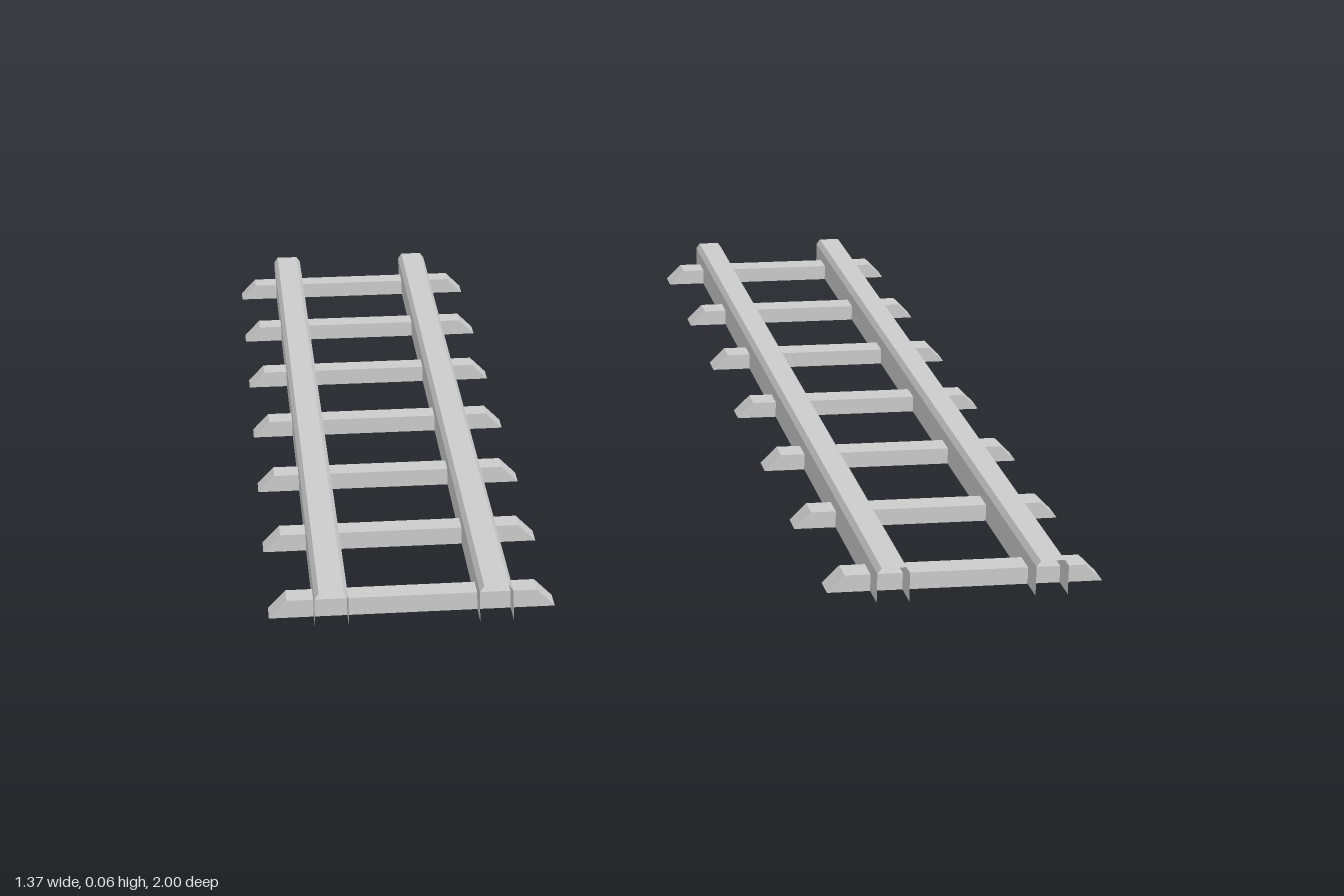
import * as THREE from 'three';

const material = new THREE.MeshStandardMaterial({ color: 0xcccccc, side: THREE.DoubleSide });

const TRACK_X = 0.455;      // centre of each track
const RAIL_OFFSET = 0.132;  // rail centre from track centre
const SLEEPERS = 7;
const SLEEPER_PITCH = 0.307;

// Inverted channel with chamfered top edges, open below and at both ends
function railGeometry() {
  const w = 0.027, c = 0.007;
  const profile = [[-w, 0], [-w, 0.05], [-w + c, 0.06], [w - c, 0.06], [w, 0.05], [w, 0]];
  const positions = [];
  for (let i = 0; i < profile.length - 1; i++) {
    const [x0, y0] = profile[i], [x1, y1] = profile[i + 1];
    positions.push(
      x0, y0, -1, x0, y0, 1, x1, y1, 1,
      x0, y0, -1, x1, y1, 1, x1, y1, -1
    );
  }
  const geometry = new THREE.BufferGeometry();
  geometry.setAttribute('position', new THREE.Float32BufferAttribute(positions, 3));
  geometry.computeVertexNormals();
  return geometry;
}

// Hollow sleeper with sloping ends and no underside
function sleeperGeometry() {
  const height = 0.029;
  const geometry = new THREE.BoxGeometry(0.462, height, 0.048);
  geometry.translate(0, height / 2, 0);
  const p = geometry.attributes.position;
  for (let i = 0; i < p.count; i++) {
    if (p.getY(i) > height / 2) p.setX(i, Math.sign(p.getX(i)) * 0.202);
  }
  const index = Array.from(geometry.index.array);
  index.splice(18, 6); // remove the bottom face
  geometry.setIndex(index);
  geometry.clearGroups();
  geometry.computeVertexNormals();
  return geometry;
}

export function createModel() {
  const model = new THREE.Group();
  model.name = 'railwayTracks';
  const rail = railGeometry();
  const sleeper = sleeperGeometry();

  for (const side of [-1, 1]) {
    const track = new THREE.Group();
    track.name = side > 0 ? 'leftTrack' : 'rightTrack';
    track.position.x = side * TRACK_X;

    // Pair of rails
    for (const s of [-1, 1]) {
      const mesh = new THREE.Mesh(rail, material);
      mesh.name = s > 0 ? 'leftRail' : 'rightRail';
      mesh.position.x = s * RAIL_OFFSET;
      track.add(mesh);
    }

    // Row of sleepers
    for (let i = 0; i < SLEEPERS; i++) {
      const mesh = new THREE.Mesh(sleeper, material);
      mesh.name = `sleeper${i + 1}`;
      mesh.position.z = (i - (SLEEPERS - 1) / 2) * SLEEPER_PITCH;
      track.add(mesh);
    }
    model.add(track);
  }
  return model;
}
